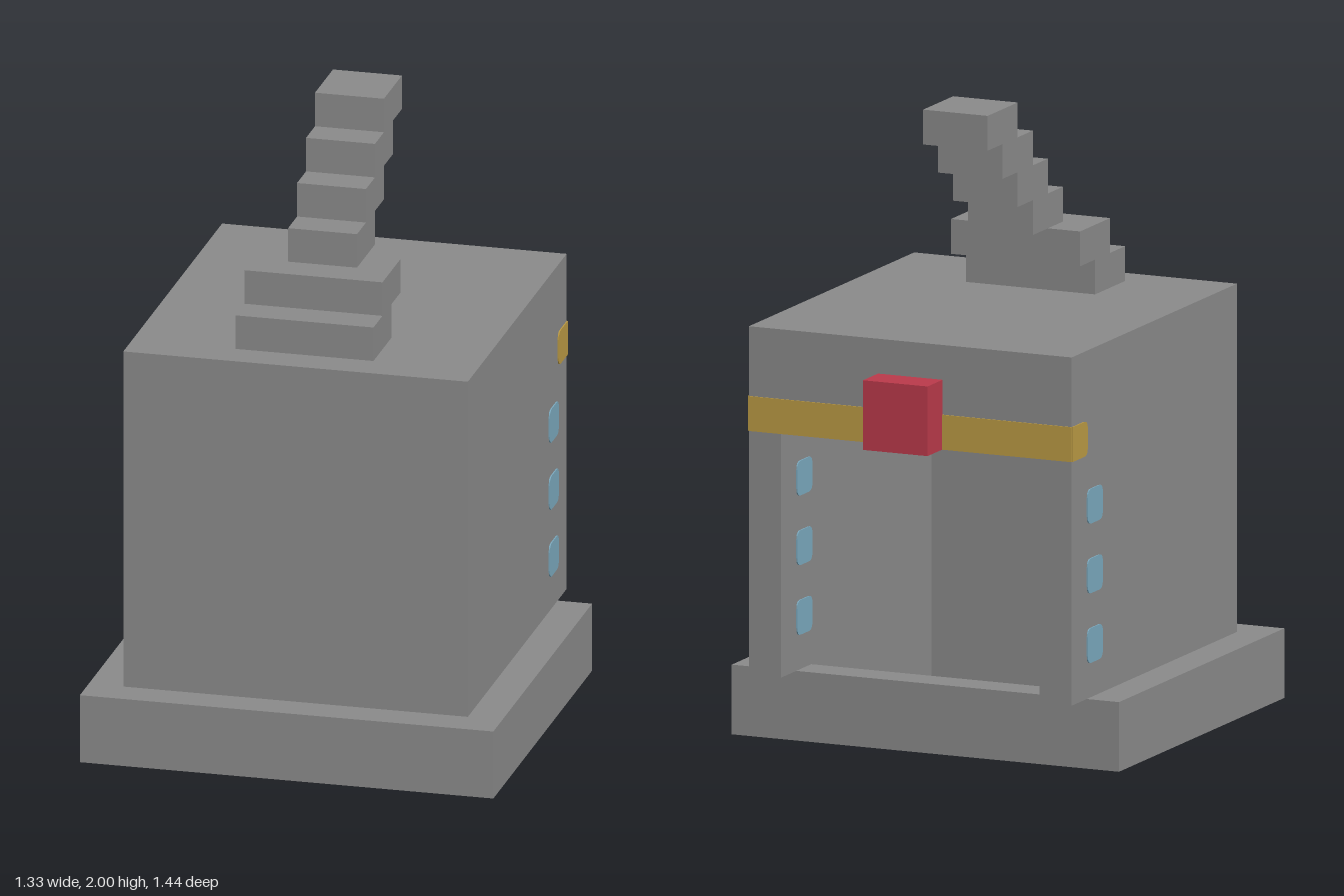
import * as THREE from 'three';

const U = 1 / 9; // one block
const T = 0.004; // painted plate thickness

const mat = (name, color) => {
  const m = new THREE.MeshStandardMaterial({ color });
  m.name = name;
  return m;
};

export function createModel() {
  const model = new THREE.Group();
  model.name = 'blockTower';
  const grey = mat('stoneGrey', 0x8b8b8b);
  const red = mat('red', 0xbb3a4b);
  const gold = mat('gold', 0xbb9a44);
  const blue = mat('lightBlue', 0x7ba9be);

  // Box between two corners, given in blocks
  function block(name, material, x0, x1, y0, y1, z0, z1) {
    const g = new THREE.BoxGeometry((x1 - x0) * U, (y1 - y0) * U, (z1 - z0) * U);
    const mesh = new THREE.Mesh(g, material);
    mesh.position.set((x0 + x1) / 2 * U, (y0 + y1) / 2 * U, (z0 + z1) / 2 * U);
    mesh.name = name;
    model.add(mesh);
    return mesh;
  }

  // One-block square plate lying on a wall at x; roundBack rounds the -z corners too
  function sidePlate(name, material, x, y, z, roundBack) {
    const h = U / 2, r = 0.025, b = roundBack ? r : 0;
    const s = new THREE.Shape(); // shape x becomes -z
    s.moveTo(-h + r, -h);
    s.lineTo(h - b, -h);
    if (b) s.quadraticCurveTo(h, -h, h, -h + b);
    s.lineTo(h, h - b);
    if (b) s.quadraticCurveTo(h, h, h - b, h);
    s.lineTo(-h + r, h);
    s.quadraticCurveTo(-h, h, -h, h - r);
    s.lineTo(-h, -h + r);
    s.quadraticCurveTo(-h, -h, -h + r, -h);
    const g = new THREE.ExtrudeGeometry(s, { depth: T * 2, bevelEnabled: false, curveSegments: 4 });
    g.translate(0, 0, -T);
    g.rotateY(Math.PI / 2);
    const mesh = new THREE.Mesh(g, material);
    mesh.position.set(x * U, y * U, z * U);
    mesh.name = name;
    model.add(mesh);
  }

  // Base frame, open in the middle
  block('baseFront', grey, -4, 4, 0, 2, 4.5, 6.5);
  block('baseBack', grey, -4, 4, 0, 2, -4.5, -3.5);

  // Hollow body, open at the back
  block('frontWall', grey, -5, 5, 2, 11, 4.5, 5.5);
  block('roof', grey, -5, 5, 11, 12, -5.5, 5.5);
  block('lintel', grey, -4, 4, 10, 11, -5.5, -4.5);

  // Gold band over the doorway
  block('bandBar', gold, -4, 4, 9, 10, -5.5, -4.5);
  block('bandFace', gold, -5, 5, 9, 10, -5.5 - T / U, -5.5);

  // Both sides
  for (const s of [-1, 1]) {
    const span = (a, b) => (s > 0 ? [a, b] : [-b, -a]);
    block('baseSide', grey, ...span(4, 6), 0, 2, -4.5, 6.5);
    block('sideWall', grey, ...span(4, 5), 2, 11, -5.5, 4.5);
    sidePlate('bandEnd', gold, s * 5, 9.5, -5, false);
    for (const y of [3.5, 5.5, 7.5]) {
      sidePlate('outerLight', blue, s * 5, y, -4, true);
      sidePlate('innerLight', blue, s * 4, y, -4, true);
    }
  }

  // Red lamp above the doorway
  block('redLamp', red, -1, 1, 9, 11, -6.5, -5.5);

  // Stepped arm leaning back from the roof
  for (let i = 0; i < 6; i++) {
    const w = i < 2 ? 2 : 1;
    block('armStep', grey, -w, w, 12 + i, 13 + i, 2.5 - i, 4.5 - i);
  }
  return model;
}
